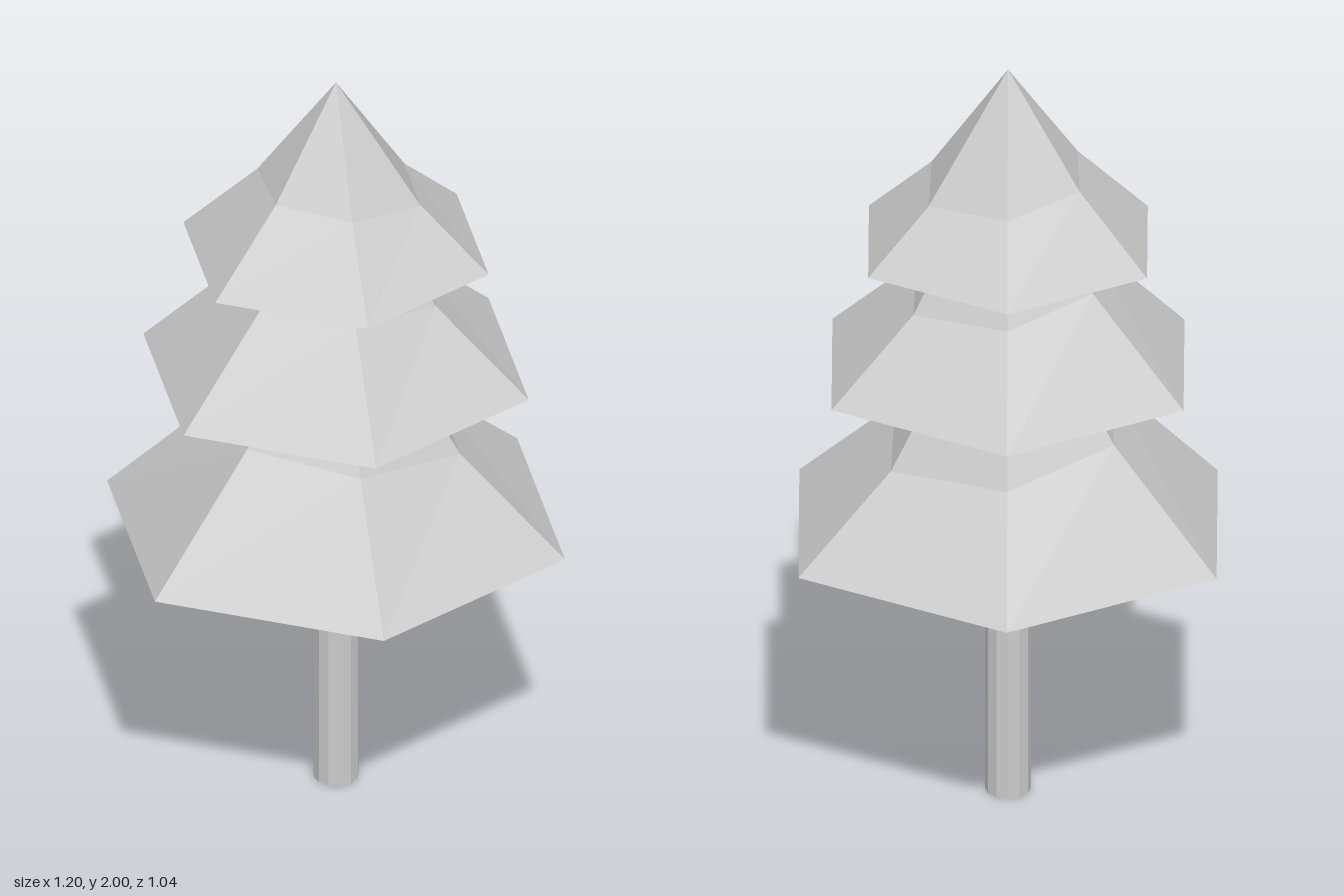
import * as THREE from 'three';

const material = new THREE.MeshStandardMaterial({ color: 0xcccccc, flatShading: true });

// Six-sided cone with a pinched, slightly tilted ring half way down its slope.
function makeTier({ name, base, apex, radius, kneeY, kneeRadius, drop, spread }) {
  const height = apex - base;
  const geometry = new THREE.ConeGeometry(radius, height, 6, 2, false, Math.PI / 2);
  geometry.translate(0, base + height / 2, 0);
  const p = geometry.attributes.position;
  for (let i = 0; i < p.count; i++) {
    if (Math.abs(p.getY(i) - (base + height / 2)) > 1e-4) continue;
    const angle = Math.atan2(p.getZ(i), p.getX(i));
    const c = Math.cos(angle);
    const r = kneeRadius + spread * c;
    p.setXYZ(i, r * c, kneeY - drop * c, r * Math.sin(angle));
  }
  geometry.computeVertexNormals();
  const mesh = new THREE.Mesh(geometry, material);
  mesh.name = name;
  return mesh;
}

export function createModel() {
  const tree = new THREE.Group();
  tree.name = 'pineTree';

  // Trunk, ending just below the foliage
  const trunkHeight = 0.705;
  const trunk = new THREE.Mesh(new THREE.CylinderGeometry(0.057, 0.057, trunkHeight, 12), material);
  trunk.position.y = trunkHeight / 2;
  trunk.name = 'trunk';
  tree.add(trunk);

  // Three stacked tiers of foliage
  const tiers = [
    { name: 'lowerFoliage', base: 0.735, apex: 1.5, radius: 0.6, kneeY: 1.01, kneeRadius: 0.315, drop: 0.044, spread: 0.02 },
    { name: 'middleFoliage', base: 1.178, apex: 1.83, radius: 0.505, kneeY: 1.42, kneeRadius: 0.253, drop: 0.036, spread: 0.018 },
    { name: 'upperFoliage', base: 1.52, apex: 2, radius: 0.4, kneeY: 1.7, kneeRadius: 0.213, drop: 0.024, spread: 0.014 },
  ];
  for (const tier of tiers) tree.add(makeTier(tier));

  return tree;
}
